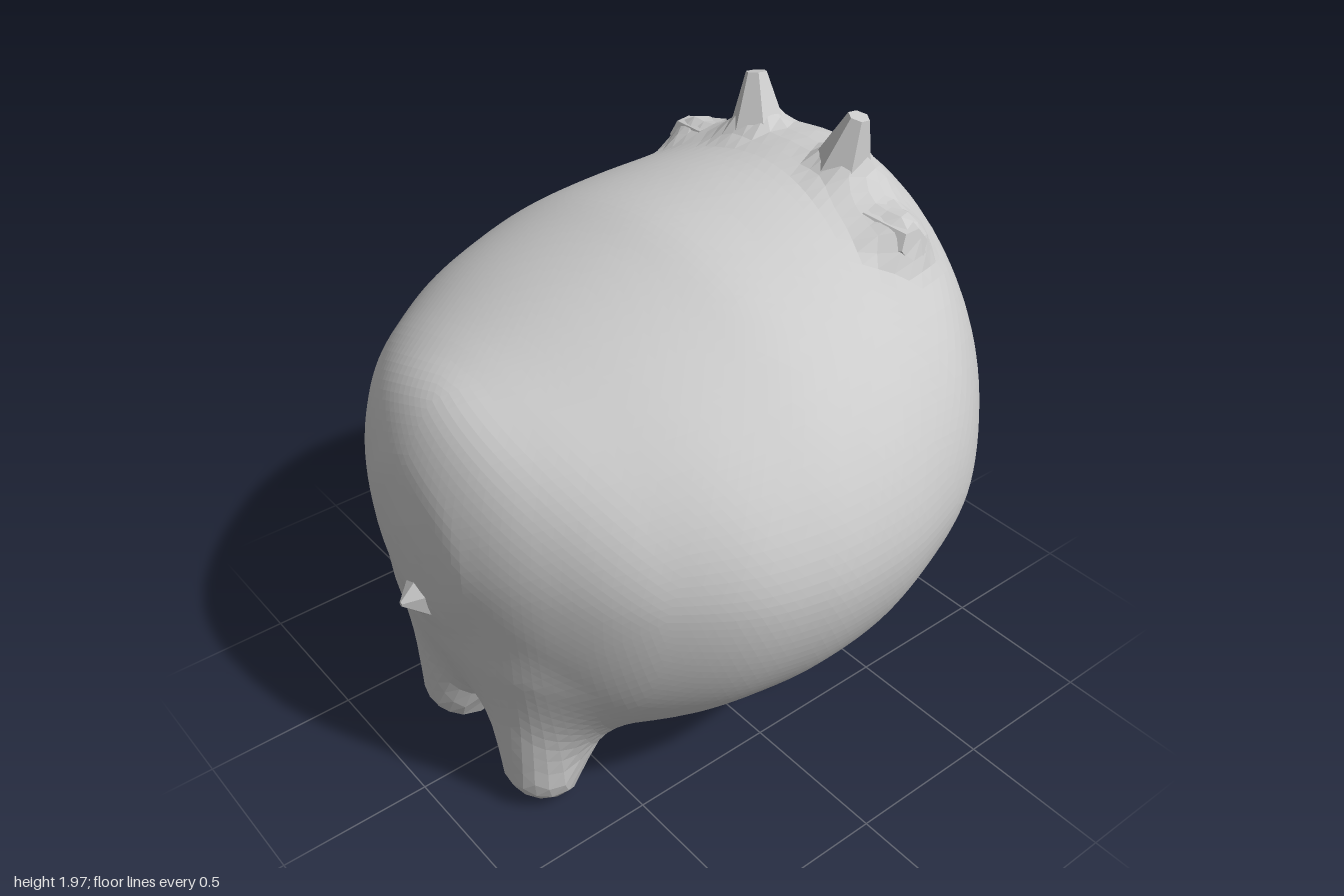
import * as THREE from 'three';

const material = new THREE.MeshStandardMaterial({ color: 0xcccccc, flatShading: true });
const V = (x, y, z) => new THREE.Vector3(x, y, z);

// Trunk cross-sections along z: [z, half width, top, bottom, height of widest point]
const SECTIONS = [
  [-0.995, 0.25, 1.245, 1.185, 1.21], [-0.97, 0.3, 1.275, 1.08, 1.19], [-0.945, 0.35, 1.325, 0.94, 1.14],
  [-0.91, 0.43, 1.4, 0.73, 1.07], [-0.87, 0.5, 1.49, 0.61, 1.03], [-0.82, 0.57, 1.6, 0.55, 1.01],
  [-0.74, 0.65, 1.75, 0.5, 1], [-0.62, 0.75, 1.825, 0.43, 1], [-0.5, 0.83, 1.83, 0.345, 1],
  [-0.35, 0.89, 1.795, 0.25, 1], [-0.15, 0.945, 1.765, 0.18, 1], [0.05, 0.96, 1.73, 0.165, 1],
  [0.2, 0.945, 1.68, 0.165, 1], [0.4, 0.88, 1.605, 0.165, 1], [0.6, 0.74, 1.525, 0.19, 1],
  [0.7, 0.64, 1.487, 0.24, 1], [0.8, 0.5, 1.445, 0.36, 1], [0.86, 0.4, 1.39, 0.5, 1],
  [0.91, 0.29, 1.3, 0.65, 1], [0.94, 0.2, 1.2, 0.75, 1], [0.957, 0.06, 1.06, 0.92, 1],
];

// Smooth (Hermite) lookup of one column of the section table
function sectionAt(z, col) {
  const S = SECTIONS, n = S.length;
  let i = 0;
  while (i < n - 2 && S[i + 1][0] < z) i++;
  const slope = (k) => {
    const a = S[Math.max(k - 1, 0)], b = S[Math.min(k + 1, n - 1)];
    return (b[col] - a[col]) / (b[0] - a[0]);
  };
  const h = S[i + 1][0] - S[i][0], t = (z - S[i][0]) / h, t2 = t * t, t3 = t2 * t;
  return (2 * t3 - 3 * t2 + 1) * S[i][col] + (t3 - 2 * t2 + t) * h * slope(i)
    + (3 * t2 - 2 * t3) * S[i + 1][col] + (t3 - t2) * h * slope(i + 1);
}

// Signed distance estimate of the trunk
function trunk(p) {
  if (p.z < SECTIONS[0][0] || p.z > SECTIONS[SECTIONS.length - 1][0]) return 1;
  const w = sectionAt(p.z, 1), mid = sectionAt(p.z, 4), upper = p.y > mid;
  const h = upper ? sectionAt(p.z, 2) - mid : mid - sectionAt(p.z, 3);
  const e = upper ? 1.93 : 1.85;
  const sum = (Math.abs(p.x) / w) ** e + (Math.abs(p.y - mid) / h) ** e;
  return (sum ** (1 / e) - 1) * Math.min(w, h);
}

// Tapered limbs melted into the trunk, mirrored in x: [start, radius, end, radius, blend]
const LIMBS = [
  [V(0.235, 0.14, 0.685), 0.14, V(0.2, 0.58, 0.63), 0.23, 0.14], // front legs
  [V(0, 0.43, 0.6), 0.16, V(0, 0.6, 0.64), 0.2, 0.12], // web between the front legs
  [V(0.3, 0.14, -0.2), 0.125, V(0.29, 0.45, -0.19), 0.24, 0.13], // rear legs
  [V(0.2, 1.76, -0.53), 0.11, V(0.2, 1.82, -0.53), 0.07, 0.08], // horn bases
  [V(0.36, 1.61, -0.5), 0.13, V(0.45, 1.665, -0.5), 0.085, 0.08], // ear bases
  [V(0, 0.78, 0.86), 0.1, V(0, 0.78, 0.93), 0.03, 0.05], // tail base
];

function limb(p, [a, ra, b, rb]) {
  const ab = b.clone().sub(a), ap = p.clone().sub(a);
  const t = THREE.MathUtils.clamp(ap.dot(ab) / ab.lengthSq(), 0, 1);
  return ap.addScaledVector(ab, -t).length() - (ra + (rb - ra) * t);
}

function bodyField(p) {
  const q = V(Math.abs(p.x), p.y, p.z);
  let d = trunk(q);
  for (const l of LIMBS) {
    const e = limb(q, l), k = l[4], m = Math.max(k - Math.abs(d - e), 0) / k;
    d = Math.min(d, e) - m * m * k * 0.25;
  }
  return d;
}

// Body: a sphere whose vertices are shrunk inwards onto the blended surface
function makeBody() {
  const geometry = new THREE.IcosahedronGeometry(1, 28);
  const pos = geometry.attributes.position;
  const centre = V(0, 1, 0.14), dir = V(), p = V();
  for (let i = 0; i < pos.count; i++) {
    dir.fromBufferAttribute(pos, i).normalize();
    const inside = (r) => bodyField(p.copy(centre).addScaledVector(dir, r)) < 0;
    let out = 1.4;
    while (out > 0.1 && !inside(out)) out -= 0.03;
    let lo = out, hi = out + 0.03;
    for (let k = 0; k < 10; k++) {
      const r = (lo + hi) / 2;
      if (inside(r)) lo = r; else hi = r;
    }
    p.copy(centre).addScaledVector(dir, lo);
    pos.setXYZ(i, p.x, Math.max(p.y, 0), p.z);
  }
  geometry.computeVertexNormals();
  const mesh = new THREE.Mesh(geometry, material);
  mesh.name = 'body';
  return mesh;
}

// Faceted spike running from one point to another
function spike(name, from, to, baseRadius, tipRadius, sides) {
  const dir = to.clone().sub(from);
  const mesh = new THREE.Mesh(
    new THREE.CylinderGeometry(tipRadius, baseRadius, dir.length(), sides), material);
  mesh.position.copy(from).addScaledVector(dir, 0.5);
  mesh.quaternion.setFromUnitVectors(V(0, 1, 0), dir.normalize());
  mesh.name = name;
  return mesh;
}

export function createModel() {
  const model = new THREE.Group();
  model.name = 'creature';
  model.add(makeBody());
  for (const [side, s] of [['left', 1], ['right', -1]]) {
    model.add(
      spike(side + 'Horn', V(s * 0.185, 1.78, -0.52), V(s * 0.225, 1.967, -0.54), 0.1, 0.034, 6),
      spike(side + 'Ear', V(s * 0.4, 1.65, -0.5), V(s * 0.53, 1.685, -0.49), 0.12, 0.05, 6),
    );
  }
  // Tail nub
  model.add(spike('tail', V(0, 0.78, 0.9), V(0, 0.78, 1), 0.105, 0.008, 6));
  return model;
}
